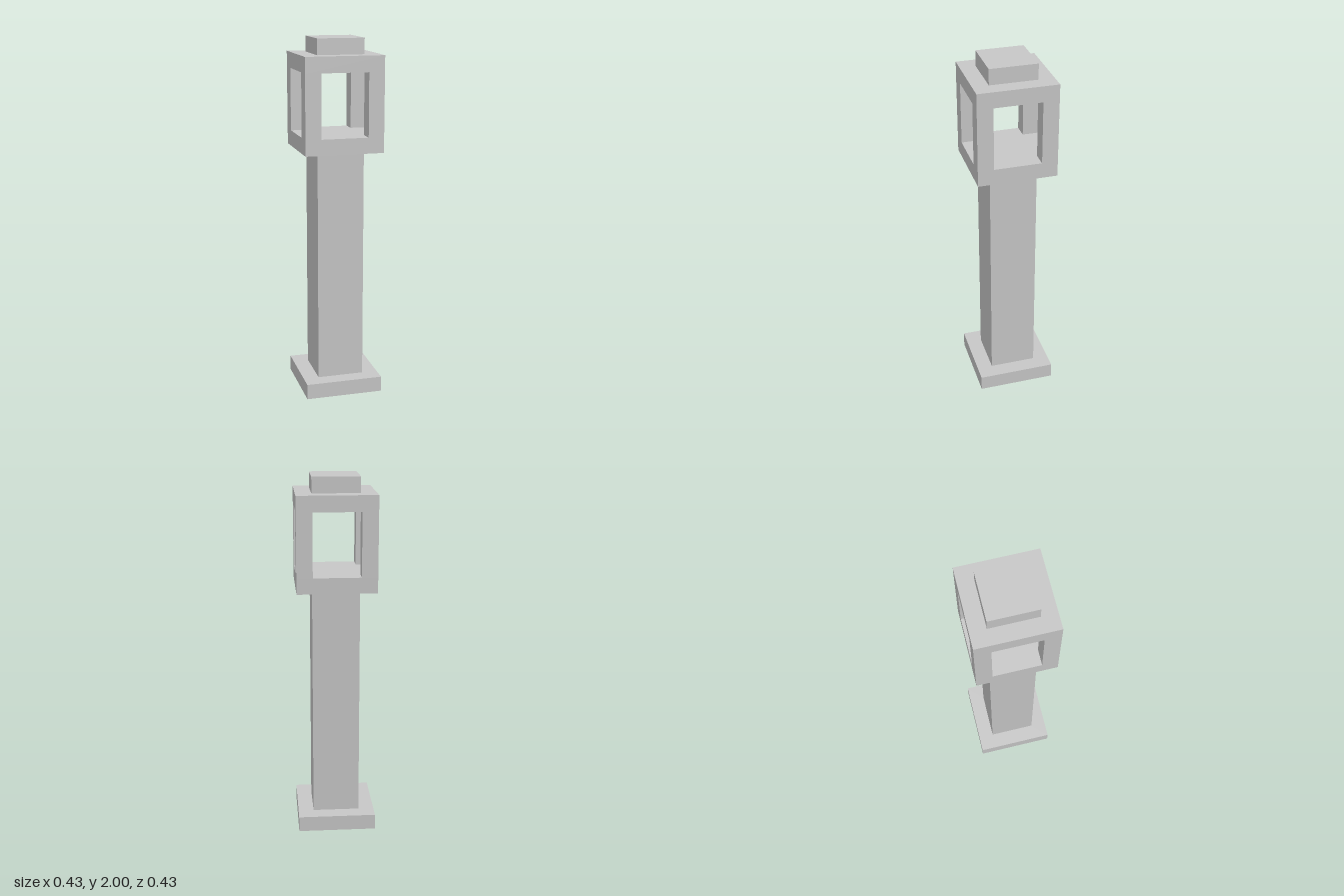
import * as THREE from 'three';

export function createModel() {
  const group = new THREE.Group();
  group.name = 'lanternPost';
  const stone = new THREE.MeshStandardMaterial({ color: 0xc7c7c7 });
  stone.name = 'light grey stone';

  // Everything sits on a module: the whole post is 23 units tall
  const u = 2 / 23;
  const block = (name, width, bottom, top, x = 0, z = 0) => {
    const mesh = new THREE.Mesh(
      new THREE.BoxGeometry(width * u, (top - bottom) * u, width * u), stone);
    mesh.position.set(x * u, (bottom + top) / 2 * u, z * u);
    mesh.name = name;
    group.add(mesh);
  };

  block('base', 5, 0, 1);
  block('column', 3, 1, 16);

  // Open lantern housing: floor, four corner posts and roof
  block('lanternFloor', 5, 16, 17);
  for (const x of [-2, 2]) {
    for (const z of [-2, 2]) {
      block(`${z > 0 ? 'front' : 'back'}${x > 0 ? 'Left' : 'Right'}Post`, 1, 17, 21, x, z);
    }
  }
  block('lanternRoof', 5, 21, 22);
  block('cap', 3, 22, 23);

  return group;
}
